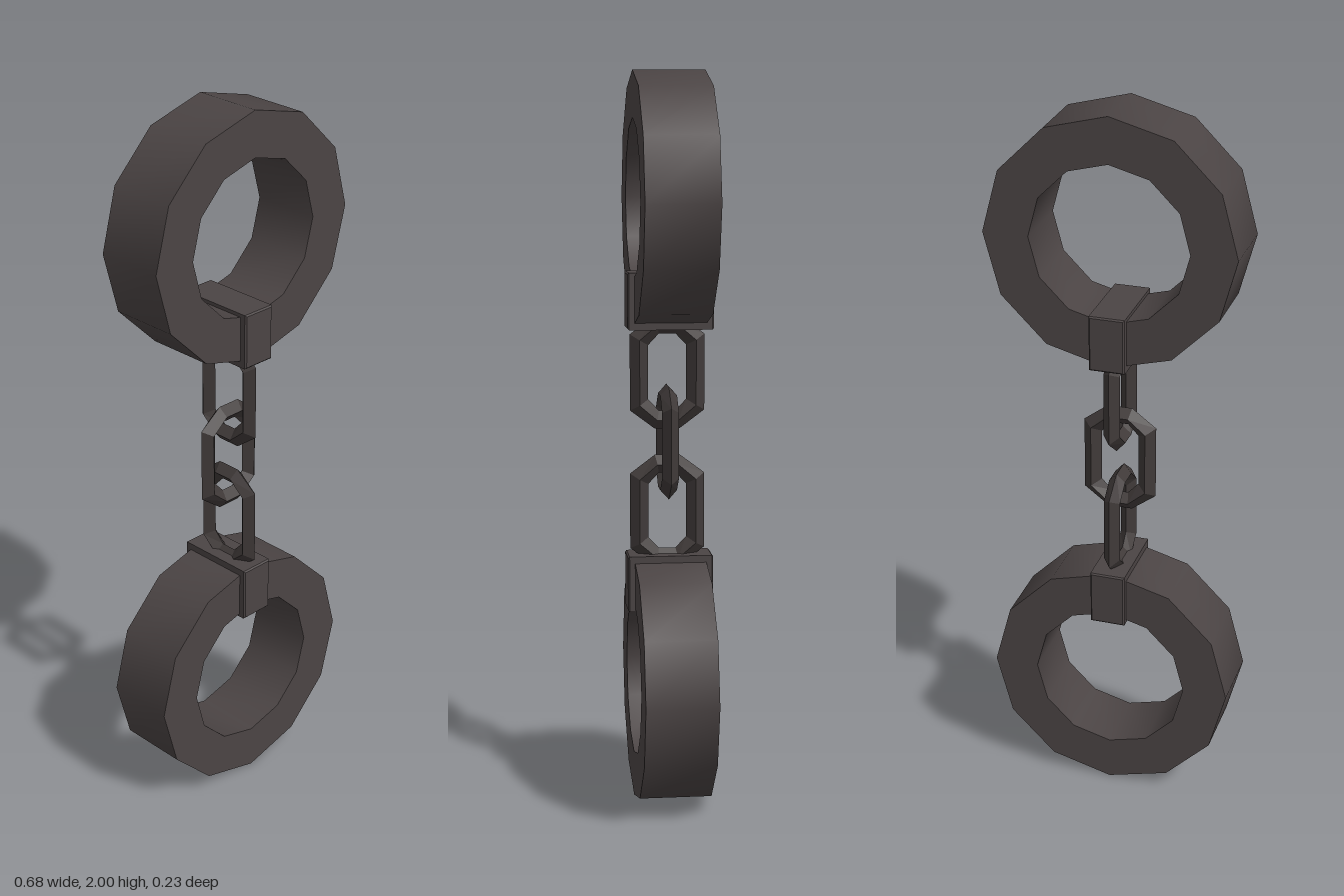
import * as THREE from 'three';
import { toCreasedNormals } from 'three/addons/utils/BufferGeometryUtils.js';

const iron = new THREE.MeshStandardMaterial({ color: 0x4b4444 });
iron.name = 'dark iron';
const chainIron = new THREE.MeshStandardMaterial({ color: 0x403a39 });
chainIron.name = 'darker chain iron';

// Regular 12-sided outline, counter-clockwise, with a corner at the top
function polygon(radius, Type) {
  const points = [];
  for (let i = 0; i < 12; i++) {
    const a = (i / 12) * Math.PI * 2;
    points.push(new THREE.Vector2(-Math.sin(a) * radius, Math.cos(a) * radius));
  }
  return new Type(points);
}

// Thick ring: softly shaded walls, sharp rims
function cuffGeometry() {
  const shape = polygon(0.342, THREE.Shape);
  shape.holes.push(polygon(0.217, THREE.Path));
  const ring = new THREE.ExtrudeGeometry(shape, { depth: 0.196, bevelEnabled: false });
  return toCreasedNormals(ring.translate(0, 0, -0.098), 0.6);
}

// Block with narrow chamfers that grips the cuff
function claspGeometry() {
  const bevel = 0.004, w = 0.049 - bevel, h = 0.077 - bevel, d = 0.234 - 2 * bevel;
  const shape = new THREE.Shape();
  shape.moveTo(-w, -h).lineTo(w, -h).lineTo(w, h).lineTo(-w, h).closePath();
  return new THREE.ExtrudeGeometry(shape, {
    depth: d, bevelEnabled: true, bevelSegments: 1, bevelSize: bevel, bevelThickness: bevel,
  }).translate(0, 0, -d / 2);
}

// Eight-cornered link: diamond section swept between an inner and an outer outline
function linkGeometry() {
  const loop = (a, b) => [
    a, b, [-b[0], b[1]], [-a[0], a[1]], [-a[0], -a[1]], [-b[0], -b[1]], [b[0], -b[1]], [a[0], -a[1]],
  ];
  const outer = loop([0.102, 0.104], [0.034, 0.155]);
  const inner = loop([0.052, 0.074], [0.023, 0.105]);
  const sides = 4, positions = [], index = [];
  outer.forEach((o, i) => {
    const n = inner[i];
    for (let j = 0; j < sides; j++) {
      const a = (j / sides) * Math.PI * 2;
      const t = (1 + Math.cos(a)) / 2;
      positions.push(n[0] + (o[0] - n[0]) * t, n[1] + (o[1] - n[1]) * t, 0.023 * Math.sin(a));
      const i2 = (i + 1) % outer.length, j2 = (j + 1) % sides;
      const p = i * sides + j, q = i2 * sides + j, r = i2 * sides + j2, s = i * sides + j2;
      index.push(p, q, r, p, r, s);
    }
  });
  const geometry = new THREE.BufferGeometry();
  geometry.setAttribute('position', new THREE.Float32BufferAttribute(positions, 3));
  geometry.setIndex(index);
  const flat = geometry.toNonIndexed();
  flat.computeVertexNormals();
  return flat;
}

export function createModel() {
  const model = new THREE.Group();
  model.name = 'shackles';
  const add = (name, geometry, material, y, z = 0, turn = 0) => {
    const mesh = new THREE.Mesh(geometry, material);
    mesh.name = name;
    mesh.position.set(0, y, z);
    mesh.rotation.y = turn;
    model.add(mesh);
  };
  const cuff = cuffGeometry(), clasp = claspGeometry(), link = linkGeometry();

  // Cuff, clasp and end link mirrored about the middle of the chain
  for (const [side, s] of [['upper', 1], ['lower', -1]]) {
    add(side + 'Cuff', cuff, iron, 1 + s * 0.658);
    add(side + 'Clasp', clasp, iron, 1 + s * 0.387);
    add(side + 'Link', link, chainIron, 1 + s * 0.191, 0.005, Math.PI / 2);
  }
  add('middleLink', link, chainIron, 1, 0.004);
  return model;
}
